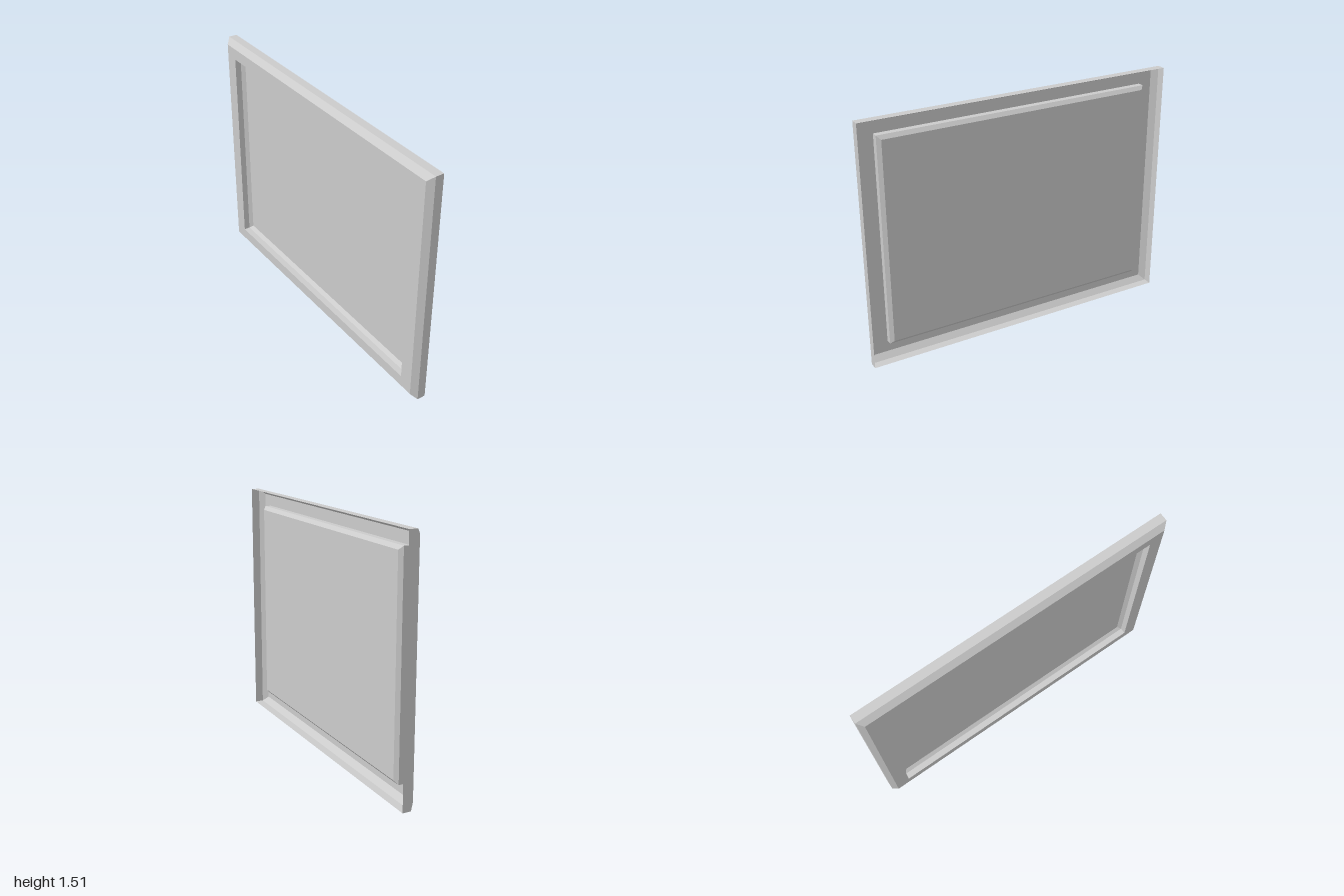
import * as THREE from 'three';

const H = 1.507;
const material = new THREE.MeshStandardMaterial({ color: 0xcccccc, flatShading: true, side: THREE.DoubleSide });

// Four corners of a rectangle in the plane at x
const corners = ([x, halfZ, halfY]) => [
  [x, H / 2 - halfY, -halfZ], [x, H / 2 - halfY, halfZ],
  [x, H / 2 + halfY, halfZ], [x, H / 2 + halfY, -halfZ],
];

// Thin skin joining successive rectangles, optionally closed at the last one
function rectSkin(name, sections, closed = false) {
  const pos = [];
  const quad = (a, b, c, d) => pos.push(...a, ...b, ...c, ...a, ...c, ...d);
  const loops = sections.map(corners);
  for (let i = 0; i < loops.length - 1; i++) {
    for (let k = 0; k < 4; k++) {
      const n = (k + 1) % 4;
      quad(loops[i][k], loops[i][n], loops[i + 1][n], loops[i + 1][k]);
    }
  }
  if (closed) quad(...loops[loops.length - 1]);
  const geo = new THREE.BufferGeometry();
  geo.setAttribute('position', new THREE.Float32BufferAttribute(pos, 3));
  geo.computeVertexNormals();
  const mesh = new THREE.Mesh(geo, material);
  mesh.name = name;
  return mesh;
}

export function createModel() {
  const group = new THREE.Group();
  group.name = 'framedPanel';

  // Each section is [x, half depth, half height]
  const rim = [0.042, 1, H / 2];
  const shoulder = [-0.01, 1, H / 2];
  const faceOuter = [-0.042, 0.967, H / 2 - 0.033];
  const faceInner = [-0.042, 0.88, 0.65];
  const recess = [-0.004, 0.88, 0.65];
  const floor = [0.016, 0.858, 0.628];

  // Outer wall, chamfer and flat border
  group.add(rectSkin('frame', [rim, shoulder, faceOuter, faceInner]));
  // Step into the recess with its bevelled edge
  group.add(rectSkin('recessWall', [faceInner, recess, floor]));
  // Flat sheet at the bottom of the recess
  group.add(rectSkin('panel', [floor], true));

  return group;
}
